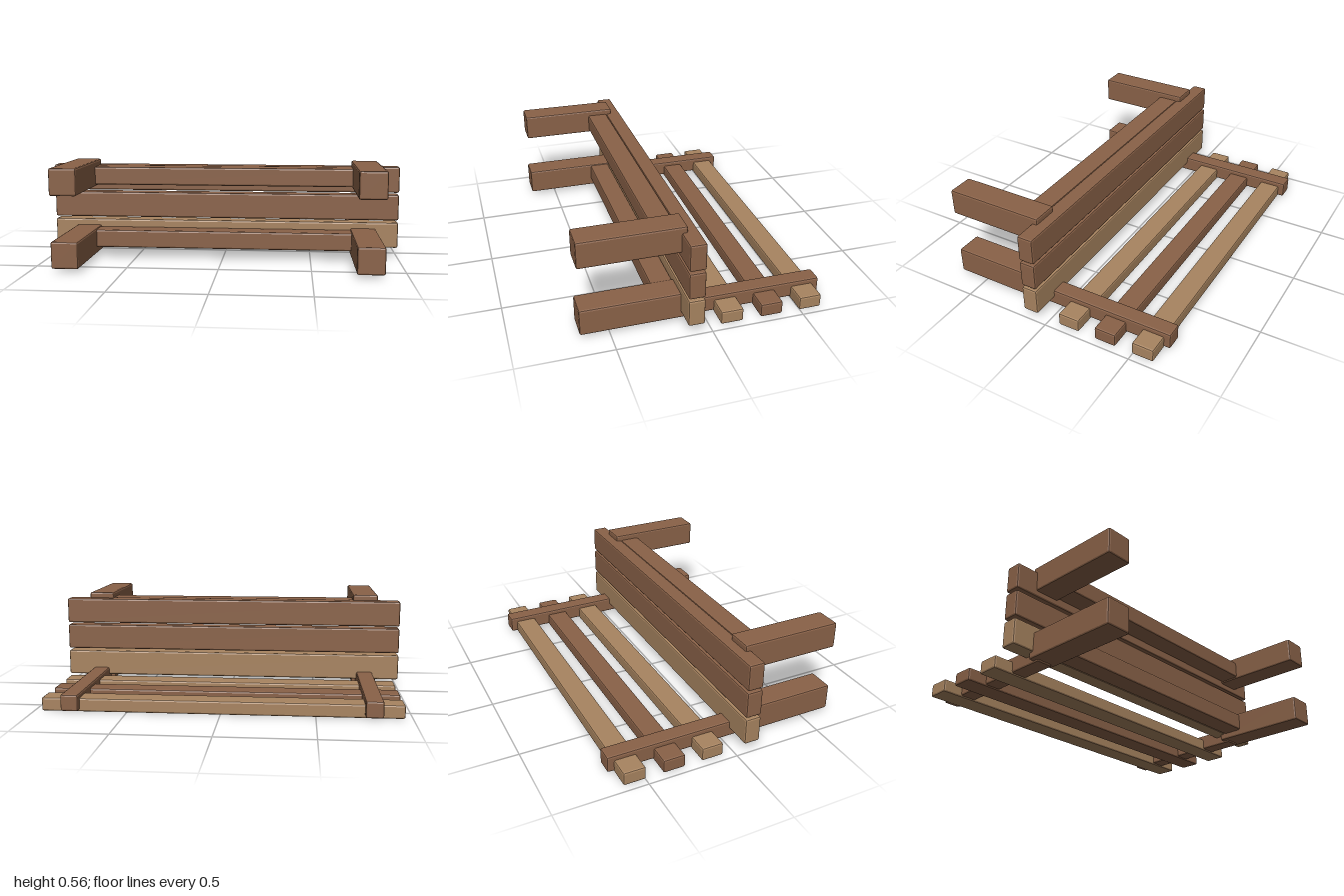
import * as THREE from 'three';
import { RoundedBoxGeometry } from 'three/addons/geometries/RoundedBoxGeometry.js';

// A plank bench tipped onto its backrest: legs point forward (+z), seat stands upright.
export function createModel() {
  const bench = new THREE.Group();
  bench.name = 'tippedBench';

  const darkWood = new THREE.MeshStandardMaterial({ color: 0x8a6248 });
  darkWood.name = 'dark wood';
  const lightWood = new THREE.MeshStandardMaterial({ color: 0xa88460 });
  lightWood.name = 'light wood';

  // Chamfered timber given by its limits on each axis
  function timber(name, [x0, x1], [y0, y1], [z0, z1], material) {
    const geometry = new RoundedBoxGeometry(x1 - x0, y1 - y0, z1 - z0, 1, 0.01);
    geometry.computeVertexNormals(); // flat chamfers
    const mesh = new THREE.Mesh(geometry, material);
    mesh.name = name;
    mesh.position.set((x0 + x1) / 2, (y0 + y1) / 2, (z0 + z1) / 2);
    bench.add(mesh);
  }

  // Seat planks, stacked upright
  [0.057, 0.217, 0.377].forEach((y, i) =>
    timber(`seatPlank${i + 1}`, [-1, 1], [y, y + 0.147], [0.042, 0.13], i === 0 ? lightWood : darkWood));

  // Backrest slats, lying on the ground
  [-0.182, -0.4, -0.618].forEach((z, i) =>
    timber(`backSlat${i + 1}`, [-0.96, 0.96], [0, 0.074], [z, z + 0.122], i === 1 ? darkWood : lightWood));

  // Rails between the legs, under the front and back of the seat
  timber('backRail', [-0.78, 0.78], [0.058, 0.16], [0.13, 0.25], darkWood);
  timber('frontRail', [-0.78, 0.78], [0.422, 0.524], [0.13, 0.25], darkWood);

  // Legs and backrest posts on both sides
  for (const [side, s] of [['left', 1], ['right', -1]]) {
    const span = (centre, half) => [s * centre - half, s * centre + half];
    timber(`${side}BackLeg`, span(0.8, 0.073), [0.022, 0.168], [0.098, 0.655], darkWood);
    timber(`${side}FrontLeg`, span(0.8, 0.073), [0.411, 0.557], [0.098, 0.655], darkWood);
    timber(`${side}BackPost`, span(0.8, 0.047), [0.01, 0.1], [-0.655, 0.14], darkWood);
  }

  return bench;
}
